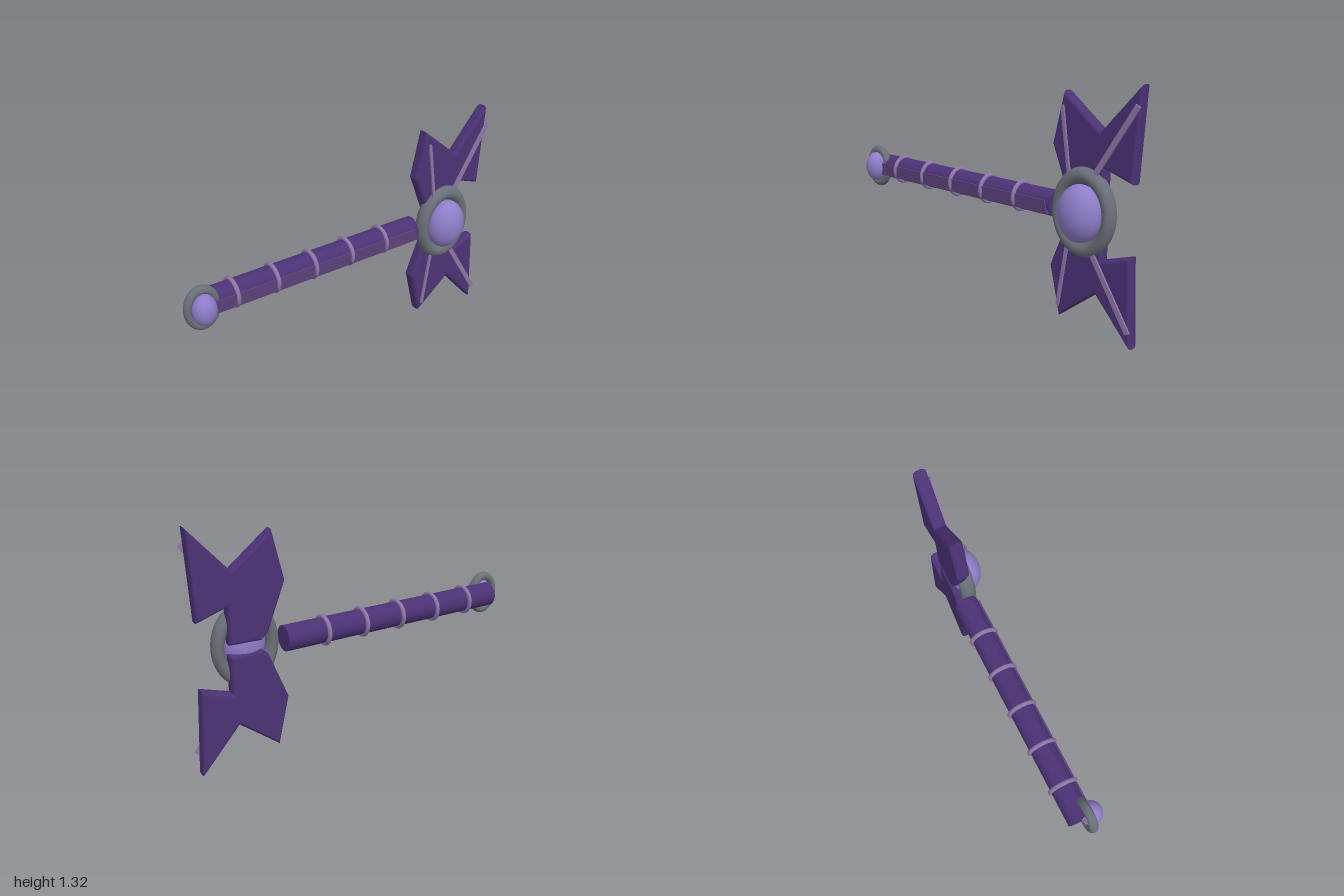
import * as THREE from 'three';

const CY = 0.655; // height of the long axis
const mat = (color) => new THREE.MeshStandardMaterial({ color });

export function createModel() {
  const group = new THREE.Group();
  const purple = mat(0x4b3275), plate = mat(0x5a4179), lilac = mat(0x8f76a6);
  const gemMat = mat(0x8f7dc8), grey = mat(0x6a7078);

  const add = (name, geometry, material, x, y, z, parent = group) => {
    const mesh = new THREE.Mesh(geometry, material);
    mesh.name = name;
    mesh.position.set(x, y, z);
    parent.add(mesh);
    return mesh;
  };

  // Shaft with a flat plate let into its front
  add('shaft', new THREE.CylinderGeometry(0.07, 0.07, 1.395, 32).rotateZ(Math.PI / 2),
    purple, -0.208, CY, -0.047);
  const strip = new THREE.Shape([
    [-0.86, -0.045], [0.485, -0.045], [0.46, 0.027], [-0.86, 0.027],
  ].map(([x, y]) => new THREE.Vector2(x, y)));
  add('shaftPlate', new THREE.ExtrudeGeometry(strip, { depth: 0.04, bevelEnabled: false }),
    plate, 0, CY, -0.012);

  // Five bands round the shaft
  for (let i = 0; i < 5; i++) {
    add('shaftBand', new THREE.TorusGeometry(0.075, 0.012, 12, 40).rotateY(Math.PI / 2),
      lilac, -0.705 + i * 0.239, CY, -0.047);
  }

  // Oval rim and domed gem, used at the head and at the pommel
  const setting = (name, x, z, r, tube, sy, depth, gem) => {
    const rim = add(name + 'Rim', new THREE.TorusGeometry(r, tube, 20, 48), grey, x, CY, z);
    rim.scale.set(1, sy, depth / tube);
    const stone = add(name + 'Gem', new THREE.SphereGeometry(1, 40, 24), gemMat, x, CY, gem.z);
    stone.scale.set(...gem.radii);
  };
  setting('head', 0.69, -0.005, 0.151, 0.034, 1.265, 0.045, { z: 0.03, radii: [0.122, 0.15, 0.1] });
  setting('pommel', -0.895, -0.008, 0.08, 0.02, 1.3, 0.025, { z: 0.02, radii: [0.066, 0.09, 0.063] });

  // Forked blades above and below the head; heights are measured from the axis
  const outline = [
    [0.585, 0.06], [0.625, 0.025], [0.8, 0.03], [0.8, 0.235], [0.965, 0.18],
    [0.988, 0.66], [0.77, 0.42], [0.545, 0.598], [0.48, 0.325],
  ];
  // Thin rib lying on the front of a blade
  const rib = (x0, y0, x1, y1, width, side) => {
    const length = Math.hypot(x1 - x0, y1 - y0);
    const mesh = add('bladeRib', new THREE.BoxGeometry(width, length, 0.01), lilac,
      (x0 + x1) / 2, CY + side * (y0 + y1) / 2, 0.013);
    mesh.rotation.z = -side * Math.atan2(x1 - x0, y1 - y0);
  };
  for (const side of [1, -1]) {
    const points = outline.map(([x, y]) => new THREE.Vector2(x, side * y));
    const blade = new THREE.ExtrudeGeometry(new THREE.Shape(points), {
      depth: 0.025, bevelThickness: 0.025, bevelSize: 0.018, bevelOffset: -0.018, bevelSegments: 4,
    });
    add(side > 0 ? 'upperBlade' : 'lowerBlade', blade, purple, 0, CY, -0.053);
    rib(0.61, 0.15, 0.553, 0.53, 0.018, side);
    rib(0.735, 0.165, 0.985, 0.565, 0.028, side);
  }
  return group;
}
